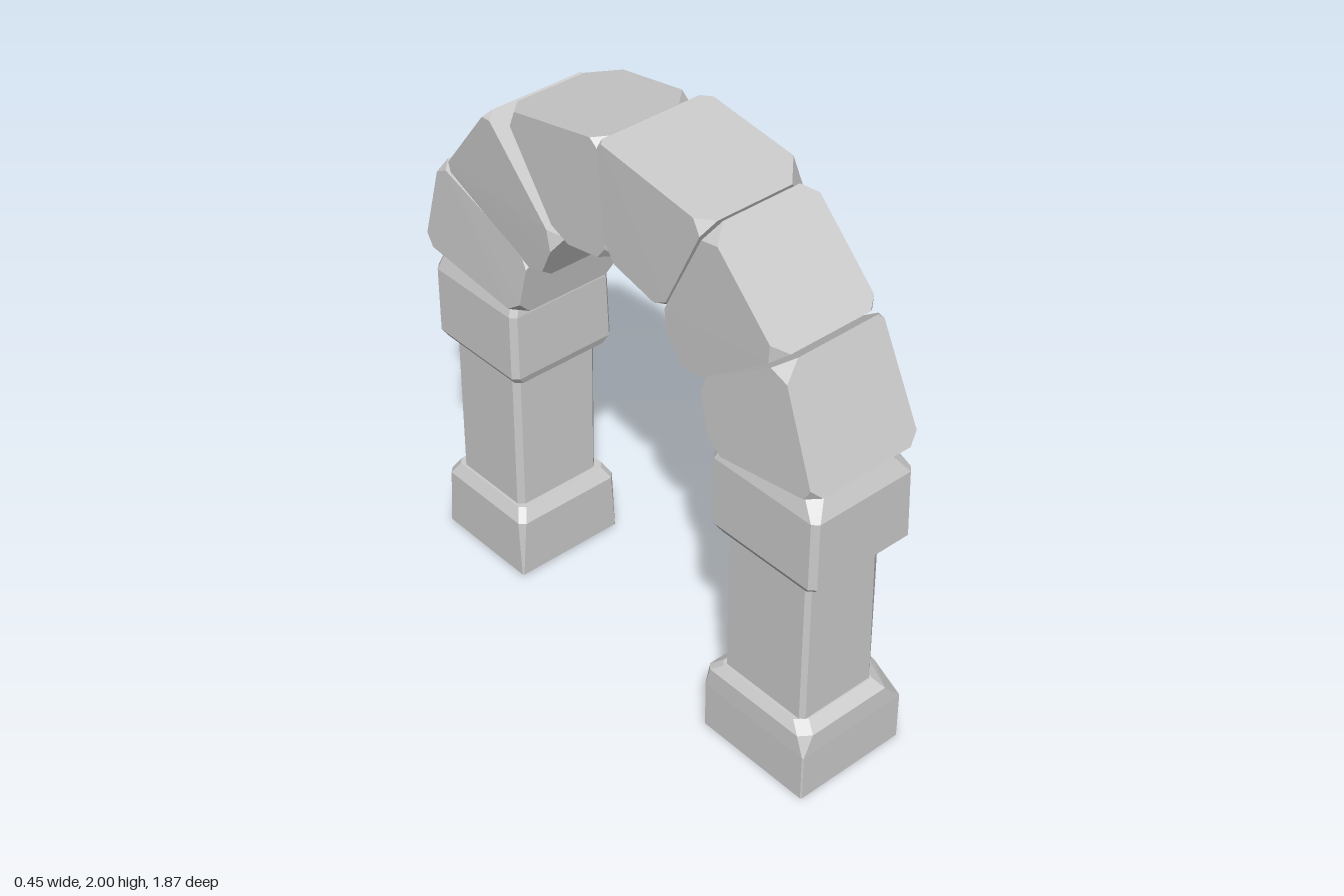
import * as THREE from 'three';
import { ConvexGeometry } from 'three/addons/geometries/ConvexGeometry.js';

const solid = new THREE.MeshStandardMaterial({ color: 0xcccccc, flatShading: true });
const open = new THREE.MeshStandardMaterial({ color: 0xcccccc, flatShading: true, side: THREE.DoubleSide });

// Rectangle at height y with each corner cut off: cuts are [alongX, alongZ]
// for the corners (+x+z), (+x-z), (-x-z), (-x+z).
function ring(y, [x0, x1], [z0, z1], cuts = []) {
  const corners = [[x1, z1, 1, 1], [x1, z0, 1, -1], [x0, z0, -1, -1], [x0, z1, -1, 1]];
  return corners.flatMap(([x, z, sx, sz], i) => {
    const [cx, cz] = cuts[i] ?? [0.004, 0.004];
    const onX = new THREE.Vector3(x - sx * cx, y, z);
    const onZ = new THREE.Vector3(x, y, z - sz * cz);
    return i % 2 ? [onZ, onX] : [onX, onZ];
  });
}

// Skin between stacked rings, optionally closed at both ends.
function loft(rings, closed) {
  const pts = [];
  rings.slice(1).forEach((top, k) => {
    const low = rings[k], n = low.length;
    for (let i = 0; i < n; i++) {
      const j = (i + 1) % n;
      pts.push(low[i], low[j], top[j], low[i], top[j], top[i]);
    }
  });
  if (closed) {
    const first = rings[0], last = rings[rings.length - 1];
    for (let i = 1; i < first.length - 1; i++) {
      pts.push(first[0], first[i + 1], first[i], last[0], last[i], last[i + 1]);
    }
  }
  const geo = new THREE.BufferGeometry().setFromPoints(pts);
  geo.computeVertexNormals();
  return geo;
}

// Wedge stone: four [z, y] corners (outer A, outer B, inner B, inner A),
// x range at ends A and B, and chip sizes for the +x and -x corners.
function wedgeStone(quad, xA, xB, chipsRight, chipsLeft) {
  const xs = [xA, xB, xB, xA];
  const corner = (i, side) => new THREE.Vector3(xs[i % 4][side], quad[i % 4][1], quad[i % 4][0]);
  const pts = [];
  for (let side = 0; side < 2; side++) {
    for (let i = 0; i < 4; i++) {
      const p = corner(i, side);
      const chip = (side ? chipsRight : chipsLeft)[i];
      for (const q of [corner(i + 1, side), corner(i + 3, side), corner(i, 1 - side)]) {
        const dir = q.sub(p).normalize();
        pts.push(p.clone().addScaledVector(dir, chip));
      }
    }
  }
  return new ConvexGeometry(pts);
}

export function createModel() {
  const arch = new THREE.Group();
  arch.name = 'stoneArch';
  const add = (parent, name, geo, mat = solid) => {
    const mesh = new THREE.Mesh(geo, mat);
    mesh.name = name;
    parent.add(mesh);
  };
  const s = [0.02, 0.02];

  // Front pillar: hollow foot, shaft with a chamfered corner, bevelled cap
  const front = new THREE.Group();
  front.name = 'frontPillar';
  add(front, 'foot', loft([
    ring(0, [-0.225, 0.215], [0.475, 0.935]),
    ring(0.18, [-0.225, 0.215], [0.475, 0.935]),
    ring(0.255, [-0.222, 0.212], [0.475, 0.932], [[0.07, 0.12], s, s, [0.04, 0.03]]),
    ring(0.285, [-0.2, 0.19], [0.515, 0.89], [[0.07, 0.1], s, s, [0.04, 0.03]]),
    ring(0.285, [-0.17, 0.15], [0.54, 0.87], [[0.06, 0.06], s, s, s]),
  ]), open);
  const shaftCuts = [[0.055, 0.055], [0.01, 0.01], [0.01, 0.01], [0.015, 0.015]];
  add(front, 'shaft', loft([
    ring(0.27, [-0.185, 0.17], [0.527, 0.885], shaftCuts),
    ring(0.85, [-0.185, 0.17], [0.522, 0.885], [[0.07, 0.055], ...shaftCuts.slice(1)]),
  ]), open);
  add(front, 'cap', loft([
    ring(0.83, [-0.19, 0.18], [0.49, 0.9], [s, s, s, s]),
    ring(0.875, [-0.22, 0.21], [0.475, 0.935], [s, s, s, s]),
    ring(1.13, [-0.22, 0.2], [0.475, 0.935], [s, s, s, s]),
    ring(1.195, [-0.2, 0.17], [0.5, 0.905], [[0.04, 0.04], s, s, [0.04, 0.04]]),
  ], true));
  arch.add(front);

  // Back pillar
  const back = new THREE.Group();
  back.name = 'backPillar';
  add(back, 'foot', loft([
    ring(0.012, [-0.22, 0.21], [-0.905, -0.485]),
    ring(0.24, [-0.22, 0.21], [-0.905, -0.482], [s, s, s, s]),
    ring(0.285, [-0.195, 0.185], [-0.88, -0.51], [s, s, s, s]),
    ring(0.285, [-0.165, 0.15], [-0.84, -0.545], [s, s, s, s]),
  ]), open);
  add(back, 'shaft', loft([
    ring(0.27, [-0.185, 0.165], [-0.86, -0.528], [s, s, s, s]),
    ring(0.86, [-0.185, 0.17], [-0.858, -0.525], [s, s, s, s]),
  ]), open);
  add(back, 'cap', loft([
    ring(0.84, [-0.2, 0.19], [-0.89, -0.492], [s, s, s, s]),
    ring(0.87, [-0.22, 0.21], [-0.907, -0.482], [s, s, s, s]),
    ring(1.12, [-0.22, 0.2], [-0.907, -0.482], [s, s, s, s]),
    ring(1.195, [-0.195, 0.18], [-0.885, -0.495], [s, s, s, s]),
  ], true));
  arch.add(back);

  // Six wedge stones from the front pillar over the top to the back one
  const ringOfStones = new THREE.Group();
  ringOfStones.name = 'archStones';
  const wedges = [
    [[[0.925, 1.217], [0.76, 1.615], [0.405, 1.37], [0.48, 1.148]],
      [-0.225, 0.222], [-0.205, 0.2], [0.04, 0.02, 0.06, 0.09], [0.04, 0.06, 0.04, 0.05]],
    [[[0.745, 1.625], [0.447, 1.932], [0.24, 1.513], [0.368, 1.349]],
      [-0.21, 0.205], [-0.215, 0.2], [0.04, 0.05, 0.05, 0.07], [0.05, 0.06, 0.05, 0.05]],
    [[[0.44, 1.935], [-0.04, 2], [-0.013, 1.61], [0.255, 1.55]],
      [-0.22, 0.225], [-0.215, 0.225], [0.1, 0.03, 0.06, 0.03], [0.05, 0.02, 0.05, 0.04]],
    [[[-0.045, 1.997], [-0.5, 1.91], [-0.245, 1.55], [-0.02, 1.582]],
      [-0.205, 0.195], [-0.21, 0.21], [0.08, 0.09, 0.05, 0.04], [0.04, 0.06, 0.05, 0.04]],
    [[[-0.563, 1.873], [-0.812, 1.56], [-0.34, 1.354], [-0.24, 1.545]],
      [-0.23, 0.205], [-0.215, 0.2], [0.05, 0.03, 0.04, 0.03], [0.03, 0.03, 0.05, 0.05]],
    [[[-0.85, 1.555], [-0.93, 1.216], [-0.44, 1.163], [-0.395, 1.396]],
      [-0.215, 0.195], [-0.23, 0.215], [0.04, 0.07, 0.07, 0.04], [0.04, 0.04, 0.05, 0.04]],
  ];
  wedges.forEach((w, i) => add(ringOfStones, `wedgeStone${i + 1}`, wedgeStone(...w)));
  arch.add(ringOfStones);

  return arch;
}
